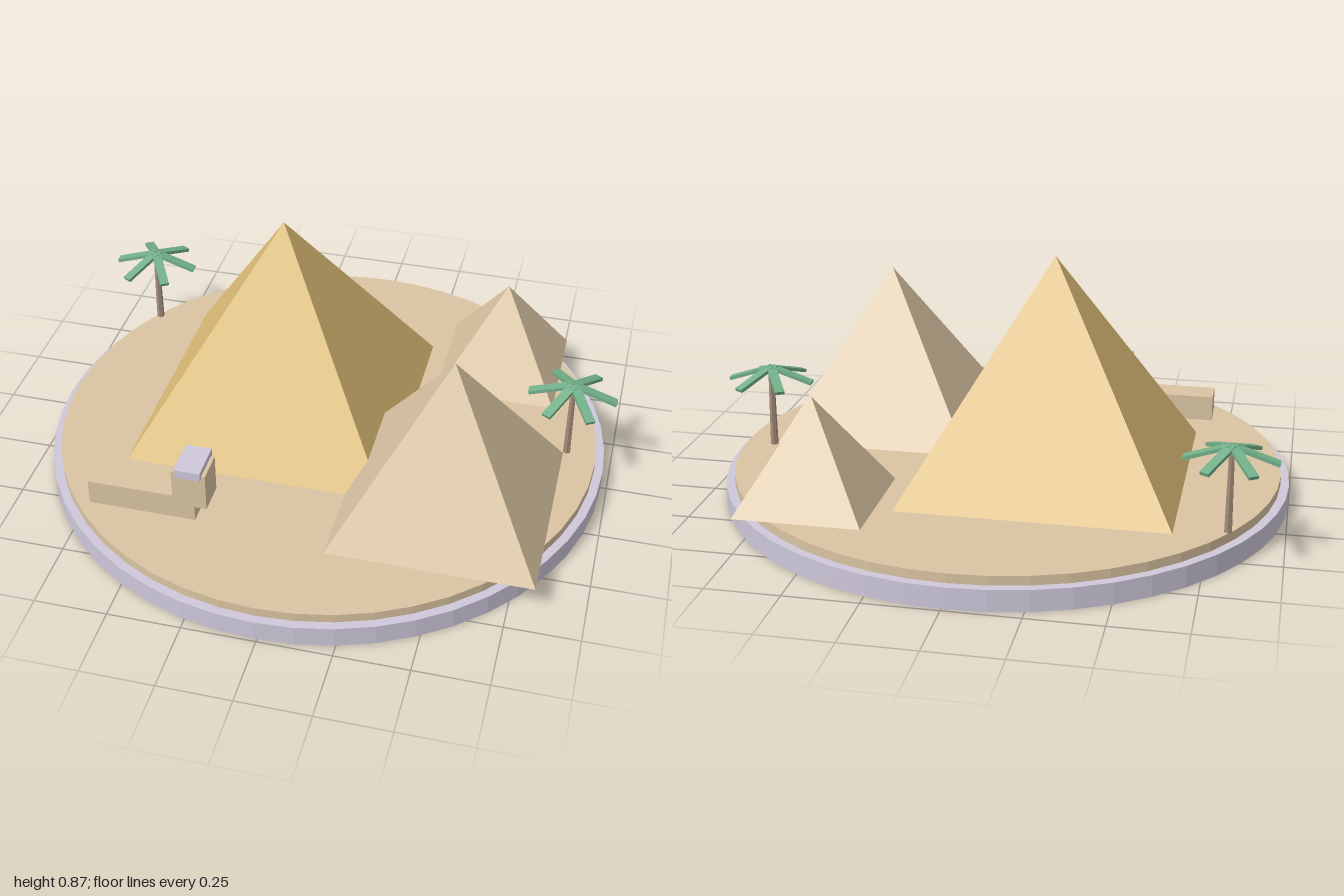
import * as THREE from 'three';

const mat = (name, color) => {
  const m = new THREE.MeshStandardMaterial({ color });
  m.name = name;
  return m;
};

// Faceted version of a geometry
function faceted(geometry) {
  const g = geometry.toNonIndexed();
  g.computeVertexNormals();
  return g;
}

export function createModel() {
  const model = new THREE.Group();
  model.name = 'desertPyramids';

  const gold = mat('gold', 0xdcbc76);
  const sandstone = mat('sandstone', 0xdac4a2);
  const stone = mat('paleStone', 0xcec8da);
  const bark = mat('bark', 0xa38d79);
  const leaf = mat('leafGreen', 0x74b08a);

  function add(parent, name, geometry, material, x, y, z) {
    const mesh = new THREE.Mesh(faceted(geometry), material);
    mesh.name = name;
    mesh.position.set(x, y, z);
    parent.add(mesh);
    return mesh;
  }

  // Round plinth with a slightly smaller sand disc on top
  const ground = 0.105;
  add(model, 'plinth', new THREE.CylinderGeometry(0.99, 0.99, 0.073, 48), stone, -0.01, 0.0365, 0);
  add(model, 'sandDisc', new THREE.CylinderGeometry(0.96, 0.96, 0.033, 48), sandstone, -0.01, 0.0885, 0);

  // Square pyramids
  function pyramid(name, x, z, half, top, material) {
    const h = top - ground;
    const g = new THREE.ConeGeometry(half * Math.SQRT2, h, 4).rotateY(Math.PI / 4);
    add(model, name, g, material, x, ground + h / 2, z);
  }
  pyramid('largePyramid', -0.19, -0.09, 0.458, 0.872, gold);
  pyramid('mediumPyramid', 0.485, 0.317, 0.349, 0.69, sandstone);
  pyramid('smallPyramid', 0.547, -0.495, 0.217, 0.465, sandstone);

  // Reclining statue: body, head and headdress, given by min and max corners
  const statue = new THREE.Group();
  statue.name = 'recliningStatue';
  model.add(statue);
  function block(name, material, x0, x1, y0, y1, z0, z1) {
    add(statue, name, new THREE.BoxGeometry(x1 - x0, y1 - y0, z1 - z0), material,
      (x0 + x1) / 2, (y0 + y1) / 2, (z0 + z1) / 2);
  }
  block('body', sandstone, -0.695, -0.32, ground, 0.197, 0.503, 0.613);
  block('head', sandstone, -0.395, -0.277, 0.162, 0.3, 0.503, 0.613);
  block('headdress', stone, -0.38, -0.29, 0.291, 0.322, 0.49, 0.626);

  // Palm trees: tapered trunk and six drooping fronds
  function palm(name, x, z) {
    const tree = new THREE.Group();
    tree.name = name;
    tree.position.set(x, ground, z);
    model.add(tree);
    add(tree, 'trunk', new THREE.CylinderGeometry(0.01, 0.014, 0.29, 6), bark, 0, 0.145, 0);
    for (let i = 0; i < 6; i++) {
      const g = new THREE.BoxGeometry(0.155, 0.012, 0.033)
        .rotateZ(-0.32)
        .translate(0.078, 0, 0)
        .rotateY(i * Math.PI / 3);
      add(tree, 'frond', g, leaf, 0, 0.268, 0);
    }
  }
  palm('leftPalm', -0.82, -0.495);
  palm('rightPalm', 0.845, -0.045);

  return model;
}
